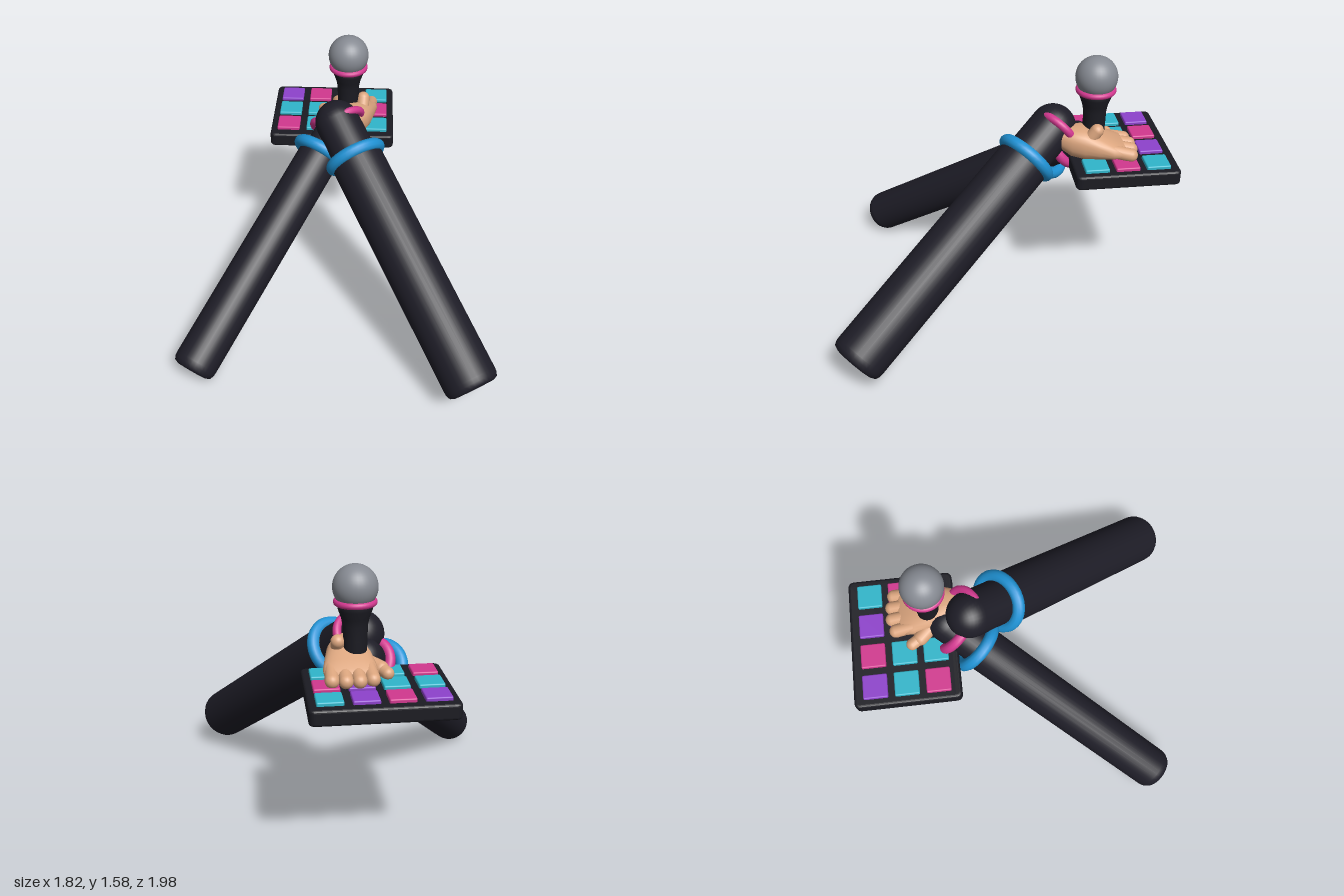
import * as THREE from 'three';
import { RoundedBoxGeometry } from 'three/addons/geometries/RoundedBoxGeometry.js';

const V = (x, y, z) => new THREE.Vector3(x, y, z);
const UP = V(0, 1, 0);

function makeMaterial(name, color) {
  const m = new THREE.MeshStandardMaterial({ color });
  m.name = name;
  return m;
}

export function createModel() {
  const model = new THREE.Group();
  const mats = {
    sleeve: makeMaterial('dark sleeve', 0x1e1d27),
    dark: makeMaterial('dark plastic', 0x1b1b22),
    blue: makeMaterial('blue band', 0x1f92d4),
    pink: makeMaterial('pink', 0xd2388f),
    purple: makeMaterial('purple', 0x8e42cc),
    cyan: makeMaterial('cyan', 0x30b6cb),
    skin: makeMaterial('skin', 0xdca67f),
    grey: makeMaterial('mesh grey', 0x868a92),
  };

  function add(parent, name, geometry, material, x = 0, y = 0, z = 0) {
    const mesh = new THREE.Mesh(geometry, material);
    mesh.name = name;
    mesh.position.set(x, y, z);
    parent.add(mesh);
    return mesh;
  }
  const lathe = (pts, n = 32) => new THREE.LatheGeometry(pts.map(([r, y]) => new THREE.Vector2(r, y)), n);
  const ring = (R, r) => new THREE.TorusGeometry(R, r, 12, 40).rotateX(Math.PI / 2);

  // Capsule between two points
  function limb(parent, name, a, b, r, material) {
    const d = b.clone().sub(a);
    const mid = a.clone().add(b).multiplyScalar(0.5);
    const mesh = add(parent, name, new THREE.CapsuleGeometry(r, d.length(), 8, 18), material, mid.x, mid.y, mid.z);
    mesh.quaternion.setFromUnitVectors(UP, d.normalize());
    return mesh;
  }

  // Arms: local +y runs from the open end of the sleeve to the wrist
  function arm(name, start, dir, o) {
    const g = new THREE.Group();
    g.name = name;
    g.position.copy(start);
    g.quaternion.setFromUnitVectors(UP, dir.normalize());
    const r = o.radius;
    add(g, 'sleeve', lathe([[0, 0], [r - 0.035, 0.002], [r - 0.012, 0.012], [r - 0.002, 0.035],
      [r, 0.06], [r, 1.48], [r - 0.02, 1.52], [0, 1.52]]), mats.sleeve);
    add(g, 'sleeveBand', ring(o.bandRadius, 0.036), mats.blue, 0, o.bandAt, 0);
    add(g, 'wristSleeve', new THREE.CylinderGeometry(o.wrist, o.wrist, o.wristEnd - 1.45, 32),
      mats.sleeve, 0, (o.wristEnd + 1.45) / 2, 0);
    add(g, 'wristEnd', new THREE.SphereGeometry(o.wrist, 32, 20), mats.sleeve, 0, o.wristEnd, 0);
    model.add(g);
  }
  arm('leftArm', V(0.786, 0.196, 0.887), V(-0.464, 0.553, -0.692),
    { radius: 0.157, bandRadius: 0.152, bandAt: 1.49, wrist: 0.132, wristEnd: 1.735 });
  arm('rightArm', V(-0.817, 0.112, 0.743), V(0.464, 0.553, -0.692),
    { radius: 0.128, bandRadius: 0.143, bandAt: 1.5, wrist: 0.108, wristEnd: 1.72 });

  // Pink wrist cuffs, the left one half sunk into the sleeve
  const cuffL = add(model, 'leftCuff', ring(0.113, 0.024), mats.pink, 0.016, 1.155, -0.335);
  cuffL.quaternion.setFromUnitVectors(UP, V(-0.464, 0.553, -0.692).normalize());
  const cuffR = add(model, 'rightCuff', ring(0.123, 0.03), mats.pink, -0.055, 1.02, -0.4);
  cuffR.quaternion.setFromUnitVectors(UP, V(0.464, 0.553, -0.692).normalize());

  // Button pad
  const pad = new THREE.Group();
  pad.name = 'buttonPad';
  model.add(pad);
  const outline = new THREE.Shape();
  const w = 0.365, h = 0.285;
  outline.moveTo(-w + 0.02, -h);
  outline.lineTo(w - 0.02, -h);
  outline.quadraticCurveTo(w, -h, w, -h + 0.02);
  outline.lineTo(w, h - 0.02);
  outline.quadraticCurveTo(w, h, w - 0.02, h);
  outline.lineTo(-w + 0.02, h);
  outline.quadraticCurveTo(-w, h, -w, h - 0.02);
  outline.lineTo(-w, -h + 0.02);
  outline.quadraticCurveTo(-w, -h, -w + 0.02, -h);
  const body = new THREE.ExtrudeGeometry(outline, {
    depth: 0.056, bevelEnabled: true, bevelSize: 0.015, bevelThickness: 0.015, bevelSegments: 4, curveSegments: 6,
  }).rotateX(-Math.PI / 2);
  add(pad, 'padBody', body, mats.dark, -0.06, 0.93, -0.7);
  const rows = [
    ['purple', 'pink', 'purple', 'cyan'],
    ['cyan', 'cyan', 'purple', 'pink'],
    ['pink', 'cyan', 'purple', 'cyan'],
  ];
  const button = new RoundedBoxGeometry(0.138, 0.04, 0.138, 3, 0.008);
  rows.forEach((row, j) => row.forEach((c, i) =>
    add(pad, 'button', button, mats[c], -0.33 + 0.18 * i, 1.001, -0.877 + 0.176 * j)));

  // Microphone
  const mic = new THREE.Group();
  mic.name = 'microphone';
  mic.position.set(0.038, 0, -0.54);
  model.add(mic);
  add(mic, 'micHandle', lathe([[0, 0.892], [0.045, 0.894], [0.053, 0.905], [0.064, 1.2], [0.066, 1.28],
    [0.074, 1.32], [0.09, 1.365], [0.096, 1.41], [0, 1.41]]), mats.dark);
  add(mic, 'micCollar', ring(0.097, 0.018), mats.pink, 0, 1.405, 0);
  add(mic, 'micHead', new THREE.SphereGeometry(0.119, 32, 24), mats.grey, 0, 1.483, 0);

  // Hand resting on the pad: lofted palm [z, x, y, half width, half height]
  const hand = new THREE.Group();
  hand.name = 'hand';
  model.add(hand);
  const sections = [
    [-0.34, 0.05, 1.12, 0.07, 0.06],
    [-0.40, 0.065, 1.105, 0.095, 0.085],
    [-0.47, 0.07, 1.098, 0.115, 0.095],
    [-0.55, 0.072, 1.085, 0.13, 0.08],
    [-0.63, 0.075, 1.07, 0.142, 0.058],
    [-0.70, 0.075, 1.06, 0.138, 0.038],
    [-0.73, 0.075, 1.055, 0.001, 0.001],
  ];
  const N = 28, pos = [], idx = [];
  sections.forEach(([z, x, y, a, b], i) => {
    for (let j = 0; j < N; j++) {
      const t = (j / N) * Math.PI * 2, c = Math.cos(t), s = Math.sin(t);
      pos.push(x + a * Math.sign(c) * Math.abs(c) ** 0.85, y + b * Math.sign(s) * Math.abs(s) ** 0.85, z);
      if (i === sections.length - 1) continue;
      const k = (j + 1) % N, p = i * N, q = p + N;
      idx.push(p + j, q + j, p + k, q + j, q + k, p + k);
    }
  });
  const palm = new THREE.BufferGeometry();
  palm.setAttribute('position', new THREE.Float32BufferAttribute(pos, 3));
  palm.setIndex(idx);
  palm.computeVertexNormals();
  add(hand, 'palm', palm, mats.skin);

  // Fingers, thumb and raised knuckle beside the handle
  const tips = [-0.735, -0.752, -0.75, -0.735];
  tips.forEach((z, i) => {
    const x = -0.03 + 0.07 * i;
    limb(hand, 'finger', V(x * 0.9 + 0.008, 1.082, -0.6), V(x, 1.048, z), 0.038, mats.skin);
  });
  limb(hand, 'thumbBase', V(0.0, 1.075, -0.5), V(-0.09, 1.055, -0.6), 0.042, mats.skin);
  limb(hand, 'thumbTip', V(-0.09, 1.055, -0.6), V(-0.118, 1.045, -0.65), 0.034, mats.skin);
  limb(hand, 'raisedKnuckle', V(0.125, 1.12, -0.49), V(0.13, 1.192, -0.54), 0.038, mats.skin);

  return model;
}
